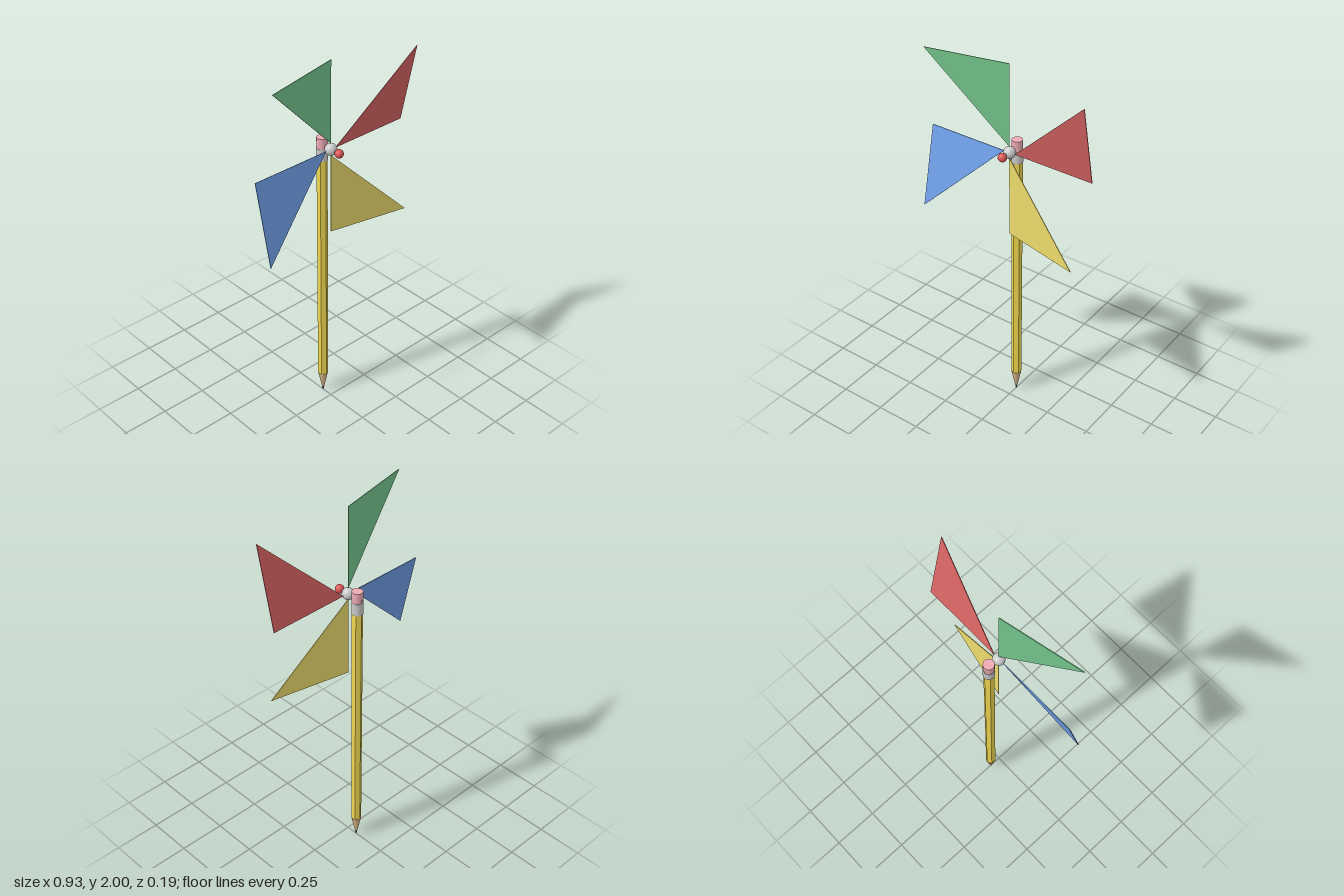
import * as THREE from 'three';

const HUB_Y = 1.535, PENCIL_Z = -0.063;

function part(parent, name, geometry, color, x = 0, y = 0, z = 0, flatShading = false) {
  const mesh = new THREE.Mesh(geometry, new THREE.MeshStandardMaterial({ color, flatShading }));
  mesh.name = name;
  mesh.position.set(x, y, z);
  parent.add(mesh);
  return mesh;
}

// Upright cylinder or cone between two heights
function rod(parent, name, color, rTop, rBottom, y0, y1, sides) {
  const geo = new THREE.CylinderGeometry(rTop, rBottom, y1 - y0, sides);
  return part(parent, name, geo, color, 0, (y0 + y1) / 2, 0, sides === 6);
}

export function createModel() {
  const model = new THREE.Group();
  model.name = 'pinwheel';

  // Pencil used as the stick, point downwards
  const pencil = new THREE.Group();
  pencil.name = 'pencil';
  pencil.position.z = PENCIL_Z;
  model.add(pencil);
  rod(pencil, 'pencilLead', 0x333333, 0.0065, 0.002, 0, 0.025, 24);
  rod(pencil, 'sharpenedWood', 0xdcb98c, 0.027, 0.0065, 0.025, 0.125, 24);
  rod(pencil, 'pencilBody', 0xf0d850, 0.0275, 0.0275, 0.125, 1.455, 6);
  rod(pencil, 'ferrule', 0xcccccc, 0.029, 0.029, 1.455, 1.52, 32);
  rod(pencil, 'eraser', 0xeeaab4, 0.0275, 0.0275, 1.52, 1.577, 32);

  // Pin through the eraser, with hub bead and round head
  const wheel = new THREE.Group();
  wheel.name = 'wheel';
  wheel.position.y = HUB_Y;
  model.add(wheel);
  const pin = part(wheel, 'pin', new THREE.CylinderGeometry(0.005, 0.005, 0.153, 12), 0xcccccc, 0, 0, -0.0185);
  pin.rotation.x = Math.PI / 2;
  part(wheel, 'hubBead', new THREE.SphereGeometry(0.031, 32, 20), 0xcccccc);
  part(wheel, 'pinHead', new THREE.SphereGeometry(0.0225, 32, 20), 0xdd5555, 0, 0, 0.058);

  // Four thin triangular blades, each tipped forward about its straight edge
  const shape = new THREE.Shape();
  shape.moveTo(0.032, 0);
  shape.lineTo(0.466, 0);
  shape.lineTo(0.466, 0.435);
  shape.closePath();
  const bladeGeo = new THREE.ExtrudeGeometry(shape, { depth: 0.004, bevelEnabled: false });
  bladeGeo.translate(0, 0, -0.002);
  bladeGeo.rotateX(0.215);
  const colors = { red: 0xd86464, green: 0x74c48c, blue: 0x6f9fe8, yellow: 0xecdc6c };
  Object.entries(colors).forEach(([name, color], i) => {
    const blade = part(wheel, name + 'Blade', bladeGeo, color, 0, 0, 0, true);
    blade.rotation.z = i * Math.PI / 2;
  });

  return model;
}
